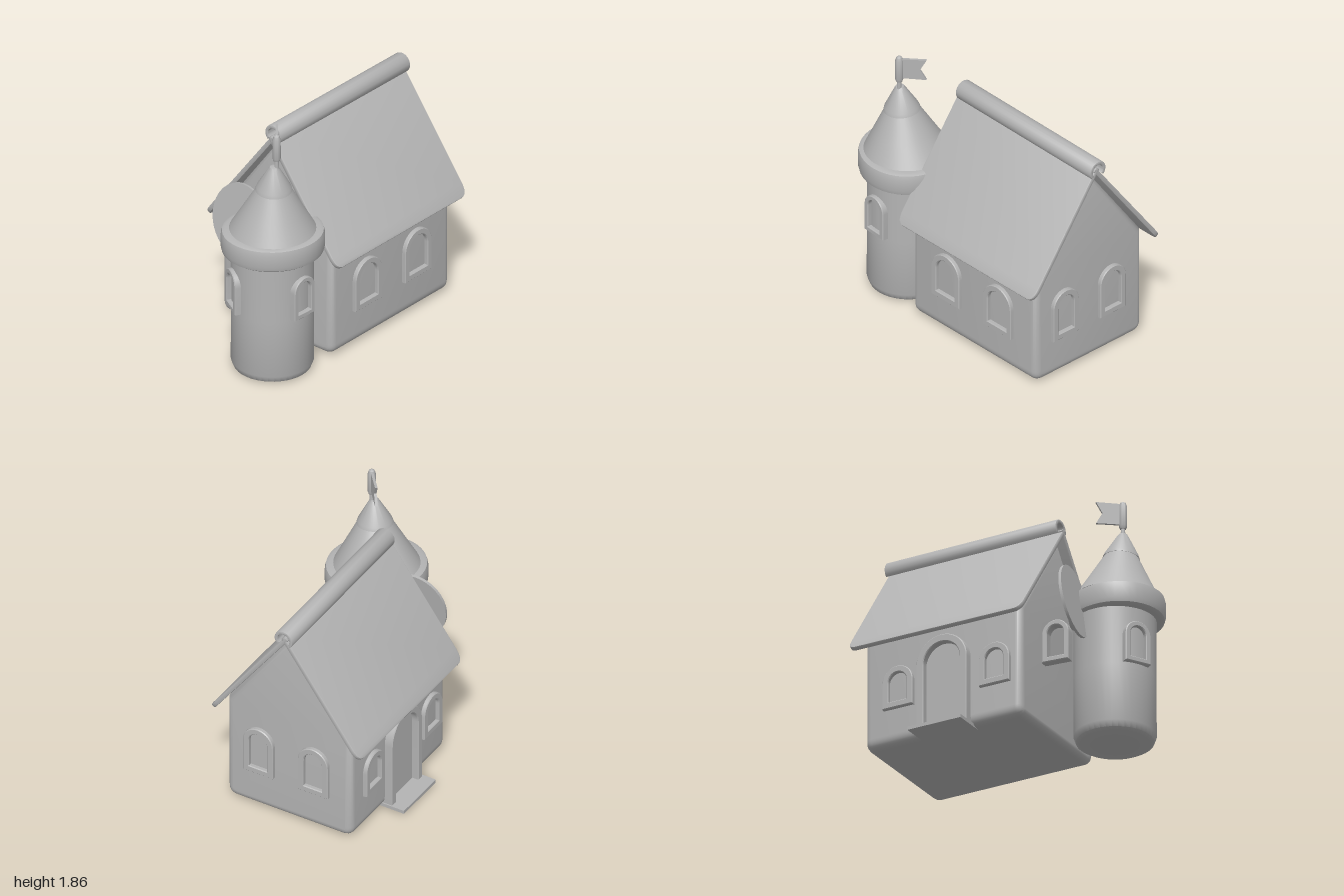
import * as THREE from 'three';
import { toCreasedNormals, mergeVertices } from 'three/addons/utils/BufferGeometryUtils.js';

export function createModel() {
  const stone = new THREE.MeshStandardMaterial({ color: 0xb4b4b4, side: THREE.DoubleSide });
  stone.name = 'grey stone';

  const add = (parent, name, geo, x = 0, y = 0, z = 0) => {
    const mesh = new THREE.Mesh(geo, stone);
    mesh.name = name;
    mesh.position.set(x, y, z);
    parent.add(mesh);
    return mesh;
  };
  const group = (parent, name, x = 0, y = 0, z = 0) => {
    const g = new THREE.Group();
    g.name = name;
    g.position.set(x, y, z);
    parent.add(g);
    return g;
  };
  // Extrude with rounded edges that stay inside the outline
  const extrude = (shape, depth, bevel = 0, segments = 2) => toCreasedNormals(
    new THREE.ExtrudeGeometry(shape, {
      depth: depth - 2 * bevel, bevelEnabled: bevel > 0, bevelThickness: bevel,
      bevelSize: bevel, bevelOffset: -bevel, bevelSegments: segments, curveSegments: 10,
    }).translate(0, 0, bevel), 0.6);
  const lathe = (points) => toCreasedNormals(
    mergeVertices(new THREE.LatheGeometry(points.map((p) => new THREE.Vector2(...p)), 40)), 0.7);

  // Round-topped outline standing on y = base
  const archPath = (Type, w, h, base = 0) => {
    const p = new Type();
    p.moveTo(-w / 2, base);
    p.lineTo(w / 2, base);
    p.lineTo(w / 2, h - w / 2);
    p.absarc(0, h - w / 2, w / 2, 0, Math.PI, false);
    p.closePath();
    return p;
  };
  const windowFrame = (w, h, t, depth) => {
    const s = archPath(THREE.Shape, w, h);
    s.holes.push(archPath(THREE.Path, w - 2 * t, h - t, t));
    return extrude(s, depth, 0.006, 1);
  };

  const model = new THREE.Group();
  model.name = 'castleHouse';

  // ---- House, turned on its base ----
  const house = group(model, 'house', 0.04, 0, -0.112);
  house.rotation.y = 0.655;
  const halfL = 0.62, halfW = 0.5;

  const gable = new THREE.Shape();
  gable.moveTo(-halfW + 0.08, 0.025);
  gable.lineTo(halfW - 0.08, 0.025);
  gable.quadraticCurveTo(halfW, 0.025, halfW, 0.105);
  gable.lineTo(halfW, 0.85);
  gable.lineTo(0, 1.545);
  gable.lineTo(-halfW, 0.85);
  gable.lineTo(-halfW, 0.105);
  gable.quadraticCurveTo(-halfW, 0.025, -halfW + 0.08, 0.025);
  add(house, 'walls', extrude(gable, halfL * 2, 0.05, 4)
    .translate(0, 0, -halfL).rotateY(Math.PI / 2));

  // Roof slopes with rounded eave corners
  const roof = group(house, 'roof', 0.01, 0, -0.006);
  const rise = 0.83, run = 0.608, slope = Math.hypot(rise, run), rl = 0.685, rc = 0.065;
  const slab = new THREE.Shape();
  slab.moveTo(-rl, slope);
  slab.lineTo(-rl, rc * 1.5);
  slab.quadraticCurveTo(-rl, 0, -rl + rc, 0);
  slab.lineTo(rl - rc, 0);
  slab.quadraticCurveTo(rl, 0, rl, rc * 1.5);
  slab.lineTo(rl, slope);
  slab.closePath();
  const slabGeo = extrude(slab, 0.034, 0.008).translate(0, 0, -0.034);
  for (const turn of [0, Math.PI]) {
    const side = group(roof, turn ? 'backRoof' : 'frontRoof');
    side.rotation.y = turn;
    add(side, 'roofSlope', slabGeo, 0, 0.775, run).rotation.x = -Math.atan2(run, rise);
  }

  // Hollow ridge roll
  const roll = new THREE.Shape();
  roll.absarc(0, 0, 0.072, -0.75, Math.PI + 0.75, false);
  roll.absarc(0, 0, 0.046, Math.PI + 0.75, -0.75, true);
  roll.closePath();
  const ridge = add(roof, 'ridgeRoll', extrude(roll, 1.36, 0.006)
    .translate(0, 0, -0.68).rotateY(Math.PI / 2), 0.018, 1.6, 0);
  ridge.rotation.z = -0.012;

  // Windows: wall turn, offset along the wall, distance, bottom, width, height
  const windows = [
    [0, -0.26, halfW, 0.29, 0.28, 0.37], [0, 0.26, halfW, 0.29, 0.28, 0.37],
    [Math.PI / 2, -0.235, halfL, 0.31, 0.24, 0.38], [Math.PI / 2, 0.205, halfL, 0.31, 0.24, 0.38],
    [Math.PI, -0.345, halfW, 0.29, 0.24, 0.31], [Math.PI, 0.42, halfW, 0.29, 0.24, 0.31],
  ];
  for (const [turn, along, out, y, w, h] of windows) {
    const wall = group(house, 'window');
    wall.rotation.y = turn;
    add(wall, 'windowFrame', windowFrame(w, h, 0.047, 0.055), along, y, out - 0.025);
  }

  // Back door with open-footed frame, leaf and doorstep
  const door = group(house, 'door', -0.022, 0, -halfW);
  door.rotation.y = Math.PI;
  const surround = new THREE.Shape();
  surround.moveTo(0.2, 0);
  surround.lineTo(0.2, 0.5);
  surround.absarc(0, 0.5, 0.2, 0, Math.PI, false);
  surround.lineTo(-0.2, 0);
  surround.lineTo(-0.145, 0);
  surround.lineTo(-0.145, 0.5);
  surround.absarc(0, 0.5, 0.145, Math.PI, 0, true);
  surround.lineTo(0.145, 0);
  surround.closePath();
  add(door, 'doorFrame', extrude(surround, 0.09, 0.006, 1), 0, 0.04, -0.03);
  add(door, 'doorLeaf', extrude(archPath(THREE.Shape, 0.3, 0.65), 0.03), 0, 0.04, -0.02);
  add(door, 'doorstep', new THREE.BoxGeometry(0.42, 0.025, 0.24), 0, 0.035, 0.04);

  // ---- Round tower ----
  const tower = group(model, 'tower', -0.56, 0, 0.65);
  add(tower, 'towerWall', lathe([[0, 0.005], [0.24, 0.008], [0.27, 0.025], [0.287, 0.07],
    [0.285, 0.5], [0.287, 1.0]]));
  add(tower, 'towerRim', lathe([[0.27, 0.93], [0.33, 0.925], [0.352, 0.94], [0.36, 0.97], [0.36, 1.06],
    [0.352, 1.09], [0.33, 1.1], [0.27, 1.1]]), 0, 0, 0.015).scale.z = 0.92;

  const towerFrame = windowFrame(0.2, 0.31, 0.038, 0.07);
  for (const angle of [0.6, -1.42]) {
    const spot = group(tower, 'towerWindow');
    spot.rotation.y = angle;
    add(spot, 'windowFrame', towerFrame, 0, 0.51, 0.243);
  }
  // Third frame stands clear of the wall, facing backwards
  add(model, 'looseWindowFrame', towerFrame, -0.65, 0.5, 0.197).rotation.y = -2.39;

  // Spire leans slightly forward
  const spire = group(tower, 'spire', 0, 1.09, 0.02);
  spire.rotation.x = 0.075;
  add(spire, 'spireCone', lathe([[0.305, 0], [0.212, 0.17], [0.115, 0.35]]));
  add(spire, 'spireCap', lathe([[0.1, 0.345], [0.128, 0.335], [0.12, 0.36], [0.045, 0.495],
    [0.03, 0.52], [0, 0.53]]));

  // Flag on its pole
  const flag = group(tower, 'flag', 0.016, 0, 0.065);
  flag.rotation.y = 1.37;
  add(flag, 'pole', new THREE.CylinderGeometry(0.013, 0.018, 0.14, 12), 0, 1.64);
  add(flag, 'flagSleeve', lathe([[0, 1.655], [0.022, 1.66], [0.029, 1.68], [0.028, 1.83],
    [0.02, 1.855], [0, 1.867]]));
  const cloth = new THREE.Shape([[0, 1.69], [0.19, 1.685], [0.145, 1.765], [0.19, 1.845], [0, 1.845]]
    .map((p) => new THREE.Vector2(...p)));
  add(flag, 'flagCloth', extrude(cloth, 0.018).translate(0, 0, -0.009));

  // ---- Leaning oval panel between tower and gable ----
  const panel = add(model, 'panel', toCreasedNormals(
    new THREE.CylinderGeometry(1, 1, 0.02, 32).rotateX(Math.PI / 2).scale(0.225, 0.27, 1), 0.6),
  -0.71, 0.965, 0.285);
  panel.rotation.set(-0.15, -0.82, 0, 'YXZ');

  return model;
}
